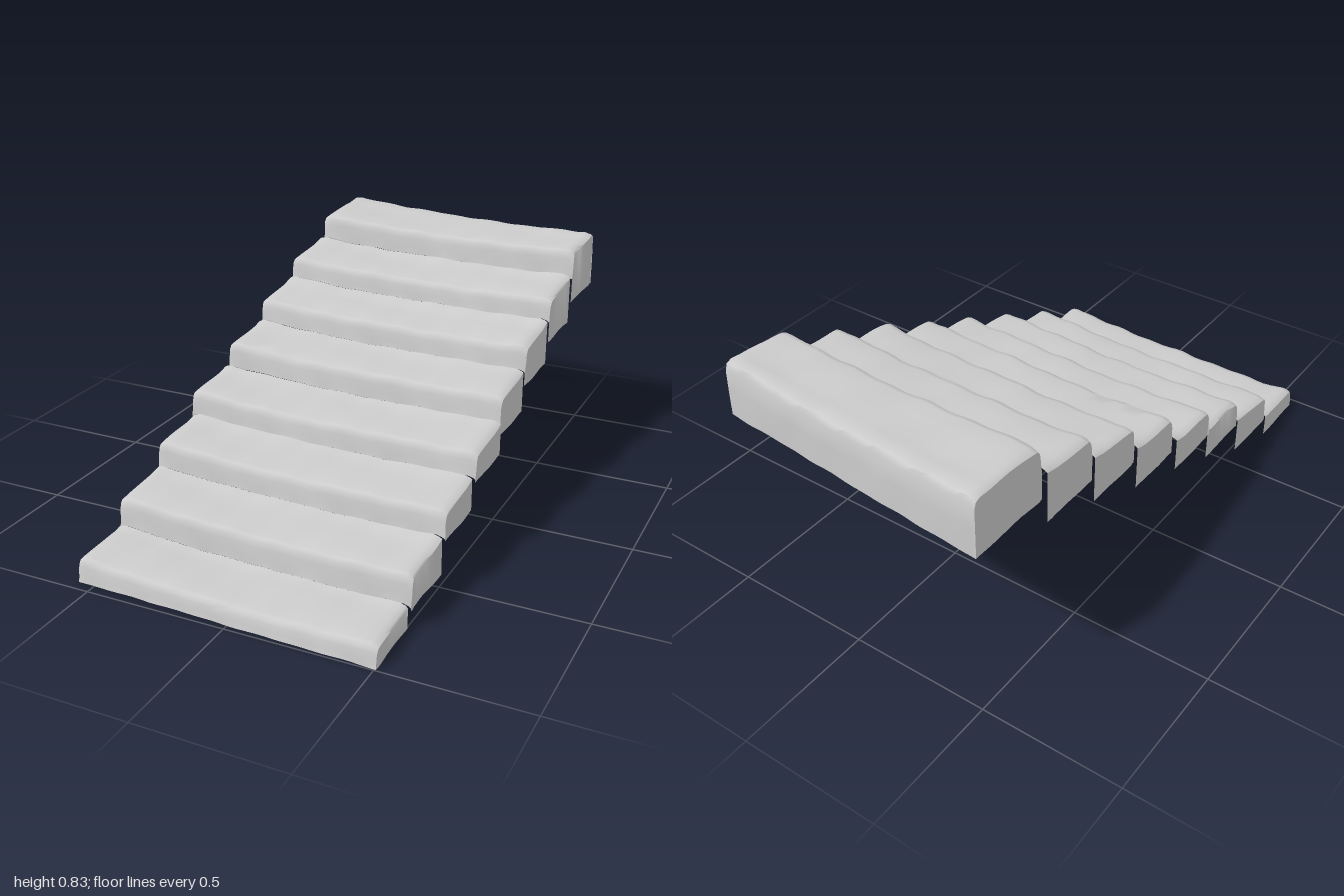
import * as THREE from 'three';
import { toCreasedNormals } from 'three/addons/utils/BufferGeometryUtils.js';

// One row per step: left x, right x, front z at left and right, nose height, rise of tread, skirt bottom
const STEPS = [
  [-0.56, 0.505, 0.955, 0.99, 0.068, 0.012, 0.005],
  [-0.555, 0.515, 0.72, 0.755, 0.175, 0.02, 0.07],
  [-0.55, 0.525, 0.485, 0.518, 0.28, 0.02, 0.185],
  [-0.555, 0.535, 0.25, 0.283, 0.38, 0.02, 0.287],
  [-0.537, 0.533, 0.015, 0.05, 0.485, 0.02, 0.355],
  [-0.525, 0.537, -0.215, -0.178, 0.585, 0.028, 0.453],
  [-0.515, 0.543, -0.45, -0.415, 0.687, 0.024, 0.535],
  [-0.495, 0.55, -0.69, -0.655, 0.8, 0.012, 0.615],
];
const BACK = [-1.0, -0.91];
const COLUMNS = [0, 0.008, 0.025, ...Array.from({ length: 31 }, (_, i) => 0.05 + (i * 0.9) / 30), 0.975, 0.992, 1];
const lerp = THREE.MathUtils.lerp;

// Smooth weathering, shared by neighbouring steps so their seams meet
const wear = (x, y, z) =>
  Math.sin(x * 17 + y * 23 + 1) * Math.sin(z * 21 + x * 6) + 0.6 * Math.sin(x * 41 + z * 13 + y * 57);

// Height change across the width: ends slightly lifted, left more than right
const lift = (u) => 0.022 * Math.pow(1 - u, 5) + 0.01 * Math.pow(u, 5);

// Side outline of a step: up the riser, over the worn nose, along the tread
function stepProfile(n, u) {
  const [, , zl, zr, nose, rise, base] = STEPS[n];
  const last = n === STEPS.length - 1;
  const F = lerp(zl, zr, u);
  const next = last ? BACK : [STEPS[n + 1][2], STEPS[n + 1][3]];
  const N = lerp(next[0], next[1], u);
  const T = nose + lift(u);
  const B = T + rise;
  const P = n ? STEPS[n - 1][4] + STEPS[n - 1][5] + lift(u) : base;
  const points = [
    [F + 0.008, P], [F + 0.004, lerp(P, T, 0.3)], [F + 0.001, lerp(P, T, 0.65)],
    [F - 0.003, T - 0.014], [F - 0.011, T - 0.003], [F - 0.028, T],
    ...[0.3, 0.45, 0.6, 0.75].map((t) => [lerp(F, N, t), lerp(T, B, t * 0.7)]),
  ];
  if (last) {
    // top landing closes with a rounded edge and a back wall
    points.push([N + 0.03, B], [N + 0.01, B - 0.006], [N + 0.002, B - 0.025],
      [N, lerp(B, base, 0.5)], [N, base]);
  } else {
    points.push([N + 0.03, B - 0.005], [N + 0.008, B]);
  }
  return points;
}

function stepGeometry(n) {
  const [xl, xr, , , , , base] = STEPS[n];
  const positions = [];
  const index = [];
  const rows = stepProfile(n, 0).length;
  const addColumn = (u, skirt) => {
    const side = Math.min(u, 1 - u);
    const drop = 0.012 * Math.pow(Math.max(0, 1 - side / 0.025), 2);
    stepProfile(n, u).forEach(([z, y], j) => {
      const x = lerp(xl, xr, u);
      const w = wear(x, y, z);
      const fixed = (n === 0 && j === 0) || (n === STEPS.length - 1 && j === rows - 1);
      const top = fixed ? y : y + w * 0.003 - drop;
      const bottom = base + 0.002 * Math.sin(z * 30);
      positions.push(x + (side === 0 ? w * 0.002 : 0), skirt ? Math.min(top, bottom) : top, z + w * 0.002);
    });
  };
  addColumn(0, true); // left skirt hem
  COLUMNS.forEach((u) => addColumn(u, false));
  addColumn(1, true); // right skirt hem
  for (let i = 0; i < COLUMNS.length + 1; i++) {
    for (let j = 0; j < rows - 1; j++) {
      const a = i * rows + j;
      const b = a + rows;
      index.push(a, b, b + 1, a, b + 1, a + 1);
    }
  }
  const geometry = new THREE.BufferGeometry();
  geometry.setAttribute('position', new THREE.Float32BufferAttribute(positions, 3));
  geometry.setIndex(index);
  return toCreasedNormals(geometry, 0.9);
}

export function createModel() {
  const group = new THREE.Group();
  group.name = 'wornStaircase';
  const stone = new THREE.MeshStandardMaterial({ color: 0xcccccc, side: THREE.DoubleSide });
  STEPS.forEach((_, n) => {
    const step = new THREE.Mesh(stepGeometry(n), stone);
    step.name = n === STEPS.length - 1 ? 'topLanding' : `step${n + 1}`;
    group.add(step);
  });
  return group;
}
